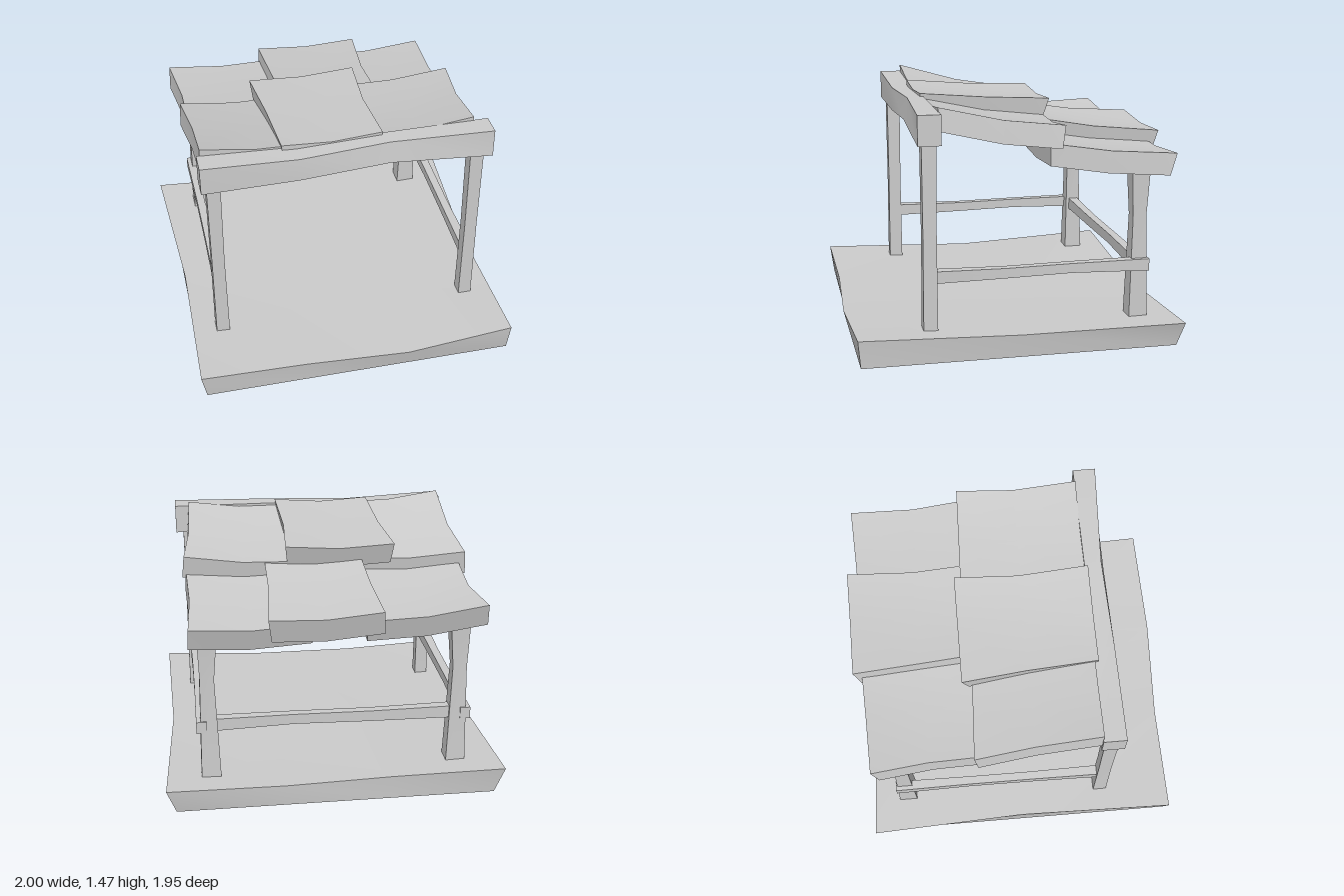
import * as THREE from 'three';
import { toCreasedNormals } from 'three/addons/utils/BufferGeometryUtils.js';

const material = new THREE.MeshStandardMaterial({ color: 0xcccccc });
const openMaterial = new THREE.MeshStandardMaterial({ color: 0xcccccc, side: THREE.DoubleSide });

// Skin a row of rings (clockwise when looking along the row) and cap both ends
// with fans around the third corner.
function loft(name, rings, open = false) {
  const n = rings[0].length, last = rings.length - 1, out = [];
  const tri = (a, b, c) => out.push(...a, ...b, ...c);
  for (let r = 0; r < last; r++) {
    const a = rings[r], b = rings[r + 1];
    for (let i = 0; i < (open ? n - 1 : n); i++) {
      const j = (i + 1) % n;
      tri(a[i], a[j], b[j]);
      tri(a[i], b[j], b[i]);
    }
  }
  for (let i = 1; i < n - 1; i++) {
    const p = (2 + i) % n, q = (3 + i) % n;
    tri(rings[0][2], rings[0][q], rings[0][p]);
    tri(rings[last][2], rings[last][p], rings[last][q]);
  }
  const geo = new THREE.BufferGeometry();
  geo.setAttribute('position', new THREE.Float32BufferAttribute(out, 3));
  const mesh = new THREE.Mesh(toCreasedNormals(geo, 0.5), open ? openMaterial : material);
  mesh.name = name;
  return mesh;
}

// Upright post from sections [y, x0, x1, z0, z1].
const post = (name, sections) => loft(name, sections.map(([y, x0, x1, z0, z1]) =>
  [[x0, y, z0], [x0, y, z1], [x1, y, z1], [x1, y, z0]]));

// Bar along x from sections [x, y0, y1, zBack, zFrontTop, zFrontBottom].
const barX = (name, sections) => loft(name, sections.map(([x, y0, y1, zb, zt, zf = zt]) =>
  [[x, y0, zb], [x, y1, zb], [x, y1, zt], [x, y0, zf]]));

// Bar running from front to back, from sections [z, y0, y1, x0, x1].
const barZ = (name, sections) => loft(name, sections.map(([z, y0, y1, x0, x1]) =>
  [[x0, y0, z], [x0, y1, z], [x1, y1, z], [x1, y0, z]]));

// Sagging roof panel of thickness t; lean shifts the lower side edges in x.
// Front, middle and back sections:
// [z, x0, x1, y at x0, y at x1, z shift of the underside, skew of z].
const panel = (name, t, lean, sections) => loft(name,
  sections.map(([z, x0, x1, y0, y1, dz = 0, skew = 0]) => {
    const xm = (x0 + x1) / 2, ym = (y0 + y1) / 2 - 0.02;
    return [
      [x0 + lean[0], y0 - t, z + dz - skew], [x0, y0, z - skew], [xm, ym, z],
      [x1, y1, z + skew], [x1 + lean[1], y1 - t, z + dz + skew], [xm, ym - t, z + dz],
    ];
  }));

export function createModel() {
  const model = new THREE.Group();

  // Hollow, sagging base: [xBottom, back corner, middle, front corner]
  const base = [
    [-0.945, [-1, 0.168, -0.966], [-0.95, 0.137, 0], [-0.975, 0.165, 0.96]],
    [-0.33, [-0.33, 0.147, -0.938], [-0.33, 0.135, 0], [-0.33, 0.138, 0.95]],
    [0.3, [0.3, 0.13, -0.938], [0.3, 0.127, 0], [0.3, 0.126, 0.977]],
    [0.945, [1, 0.153, -0.966], [0.945, 0.133, 0], [0.96, 0.17, 0.953]],
  ];
  model.add(loft('base', base.map(([x, back, mid, front]) =>
    [[x, 0, -0.932], back, mid, front, [x, 0, 0.938]]), true));

  // Posts: slim at the front, waisted and shorter at the back
  for (const s of [-1, 1]) {
    const side = s < 0 ? 'Right' : 'Left';
    const span = (a, b) => (s > 0 ? [a, b] : [-b, -a]);
    model.add(post('frontPost' + side, [
      [0.06, ...span(0.74, 0.822), 0.475, 0.56],
      [0.7, ...span(0.745, 0.82), 0.478, 0.557],
      [1.3, ...span(0.74, 0.822), 0.475, 0.56],
    ]));
    model.add(post('backPost' + side, [
      [0.06, ...span(0.67, 0.79), -0.8, -0.683],
      [0.76, ...span(0.697, 0.78), -0.778, -0.697],
      [1.07, ...span(0.672, 0.79), -0.795, -0.683],
    ]));
    // Side rail, running just past the back post
    model.add(barZ('sideRail' + side, [
      [0.5, 0.43, 0.502, ...span(0.75, 0.81)],
      [0.07, 0.435, 0.495, ...span(0.755, 0.805)],
      [-0.32, 0.443, 0.5, ...span(0.755, 0.805)],
      [-0.795, 0.43, 0.502, ...span(0.75, 0.81)],
    ]));
  }

  // Back rail
  model.add(barX('backRail', [
    [-0.74, 0.43, 0.505, -0.77, -0.71],
    [-0.22, 0.433, 0.499, -0.765, -0.715],
    [0.24, 0.443, 0.505, -0.765, -0.715],
    [0.74, 0.428, 0.505, -0.77, -0.71],
  ]));

  // Front beam
  model.add(barX('frontBeam', [
    [-0.855, 1.246, 1.422, 0.452, 0.587],
    [-0.28, 1.252, 1.397, 0.457, 0.58, 0.583],
    [0.25, 1.29, 1.42, 0.457, 0.558, 0.582],
    [0.868, 1.246, 1.422, 0.452, 0.587],
  ]));

  // Lower roof row at the back
  model.add(panel('backPanelRight', 0.135, [-0.008, 0], [
    [-0.18, -0.83, -0.17, 1.235, 1.205],
    [-0.55, -0.825, -0.17, 1.18, 1.16, 0.02],
    [-0.902, -0.865, -0.17, 1.187, 1.135, 0.04, -0.015],
  ]));
  model.add(panel('backPanelLeft', 0.13, [0, 0.006], [
    [-0.18, 0.14, 0.825, 1.22, 1.225],
    [-0.55, 0.14, 0.815, 1.16, 1.165, 0.02],
    [-0.922, 0.14, 0.835, 1.13, 1.14, 0.04, -0.015],
  ]));
  model.add(panel('backPanelMiddle', 0.145, [-0.012, -0.02], [
    [-0.2, -0.225, 0.355, 1.293, 1.29],
    [-0.57, -0.235, 0.36, 1.235, 1.225, 0.02],
    [-0.967, -0.255, 0.395, 1.205, 1.19, 0.04, -0.005],
  ]));

  // Upper roof row at the front
  model.add(panel('frontPanelRight', 0.145, [-0.01, 0], [
    [0.457, -0.835, -0.2, 1.465, 1.41],
    [0.07, -0.832, -0.2, 1.355, 1.325, 0.01],
    [-0.267, -0.862, -0.2, 1.295, 1.275, 0.02, 0.015],
  ]));
  model.add(panel('frontPanelLeft', 0.135, [0, 0.012], [
    [0.457, 0.14, 0.78, 1.405, 1.447],
    [0.08, 0.14, 0.795, 1.32, 1.363, 0.01],
    [-0.277, 0.14, 0.835, 1.28, 1.33, 0.02, 0.01],
  ]));
  model.add(panel('frontPanelMiddle', 0.13, [0.015, -0.015], [
    [0.476, -0.37, 0.225, 1.432, 1.438],
    [0.06, -0.385, 0.21, 1.395, 1.4, 0.02],
    [-0.32, -0.42, 0.235, 1.378, 1.385, 0.04],
  ]));

  return model;
}
